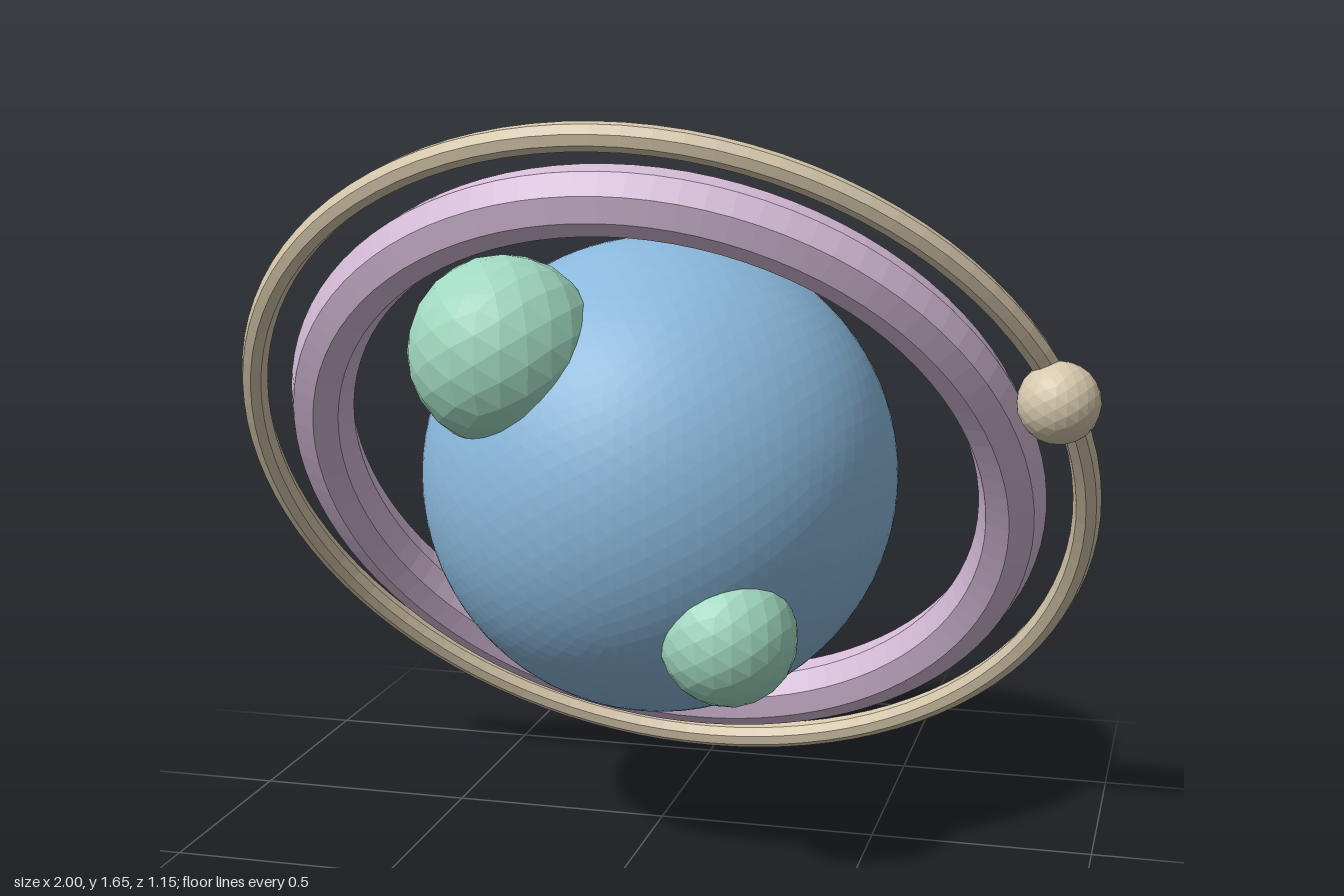
import * as THREE from 'three';

const CENTER = new THREE.Vector3(-0.005, 0.83, 0);

function makeMaterial(name, color) {
  const m = new THREE.MeshStandardMaterial({ color, flatShading: true });
  m.name = name;
  return m;
}

export function createModel() {
  const blue = makeMaterial('planetBlue', 0x8ab8dc);
  const green = makeMaterial('landGreen', 0xa0d8c0);
  const mauve = makeMaterial('ringMauve', 0xd6bcd8);
  const sand = makeMaterial('ringSand', 0xd6c8ac);

  const model = new THREE.Group();
  model.name = 'ringedPlanet';
  model.position.copy(CENTER);

  const add = (name, geometry, material, parent, x = 0, y = 0, z = 0) => {
    const mesh = new THREE.Mesh(geometry, material);
    mesh.name = name;
    mesh.position.set(x, y, z);
    parent.add(mesh);
    return mesh;
  };
  const ball = (radius, detail) => new THREE.IcosahedronGeometry(radius, detail);

  // Planet with two land bumps half sunk into its surface
  add('planet', ball(0.543, 15), blue, model);
  add('largeLand', ball(0.21, 3), green, model, -0.265, 0.32, 0.32);
  add('smallLand', ball(0.15, 3), green, model, 0.245, -0.27, 0.37);

  // Two concentric rings, tipped so the upper edge leans forward
  const rings = new THREE.Group();
  rings.name = 'rings';
  rings.rotation.x = 0.6;
  model.add(rings);
  add('innerRing', new THREE.TorusGeometry(0.802, 0.075, 8, 96), mauve, rings);
  add('outerRing', new THREE.TorusGeometry(0.965, 0.031, 8, 96), sand, rings);

  // Moon riding on the outer ring
  add('moon', ball(0.088, 3), sand, model, 0.914, 0.243, 0.226);

  return model;
}
